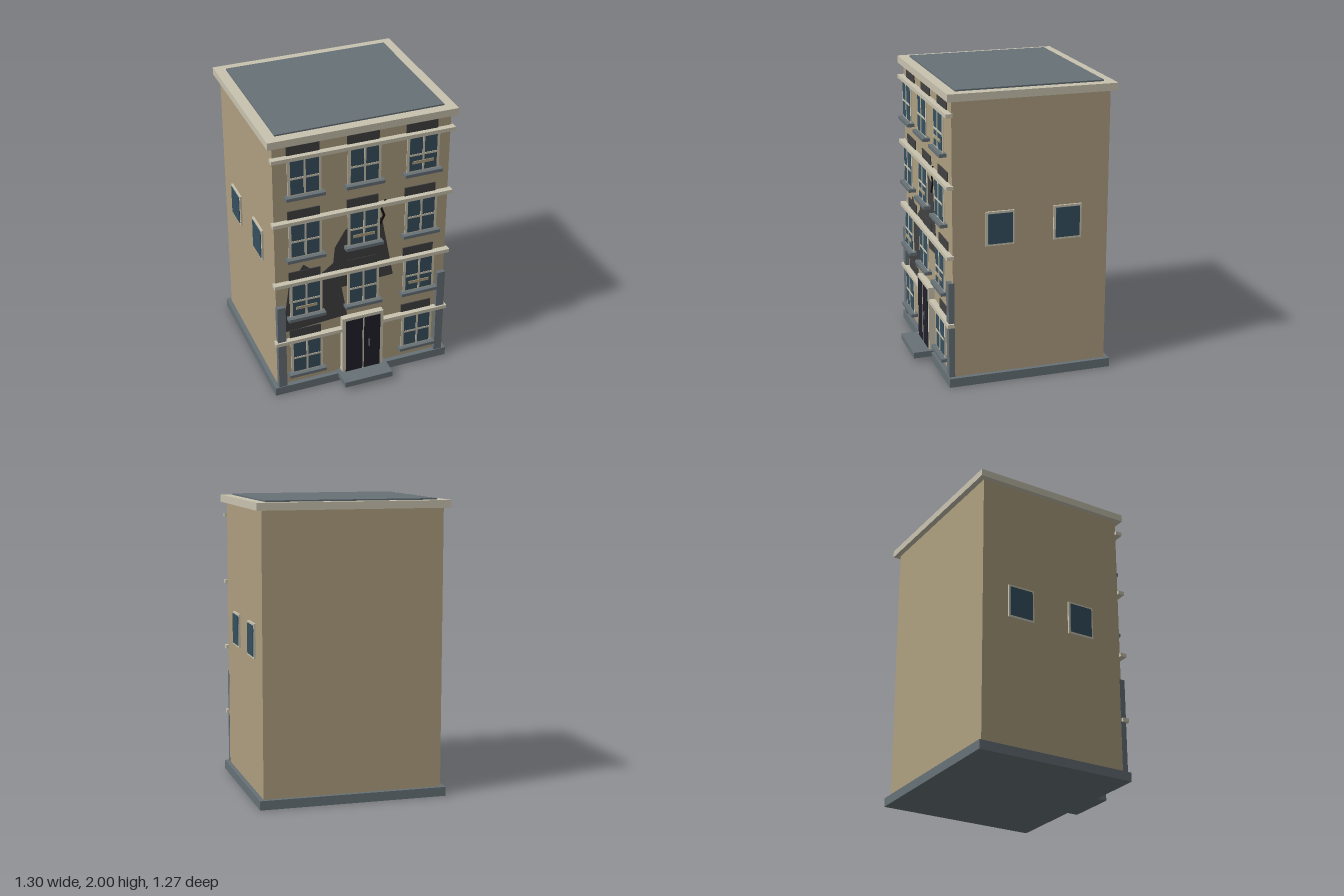
import * as THREE from 'three';

const mat = (name, color) => {
  const m = new THREE.MeshStandardMaterial({ color });
  m.name = name;
  return m;
};

export function createModel() {
  const wall = mat('tan plaster', 0xae9f80);
  const trim = mat('pale stone', 0xc9c3af);
  const slate = mat('slate grey', 0x667177);
  const glass = mat('blue glass', 0x36505f);
  const soot = mat('soot', 0x424143);
  const dark = mat('dark door', 0x20202a);
  const black = mat('crack black', 0x121214);

  const house = new THREE.Group();
  house.name = 'townhouse';

  // Box given by its min and max on each axis
  const box = (parent, name, m, x0, x1, y0, y1, z0, z1) => {
    const mesh = new THREE.Mesh(new THREE.BoxGeometry(x1 - x0, y1 - y0, z1 - z0), m);
    mesh.position.set((x0 + x1) / 2, (y0 + y1) / 2, (z0 + z1) / 2);
    mesh.name = name;
    parent.add(mesh);
    return mesh;
  };
  // Thin plate cut to an outline, facing the front
  const plate = (name, m, points, z, depth) => {
    const shape = new THREE.Shape(points.map(([x, y]) => new THREE.Vector2(x, y)));
    const mesh = new THREE.Mesh(new THREE.ExtrudeGeometry(shape, { depth, bevelEnabled: false }), m);
    mesh.position.z = z;
    mesh.name = name;
    house.add(mesh);
  };

  // Main block, plinth, cornice and roof
  box(house, 'walls', wall, -0.612, 0.612, 0.05, 1.95, -0.6, 0.47);
  box(house, 'plinth', slate, -0.642, 0.642, 0, 0.062, -0.63, 0.505);
  box(house, 'cornice', trim, -0.65, 0.65, 1.94, 1.99, -0.638, 0.505);
  box(house, 'roof', slate, -0.578, 0.578, 1.98, 2, -0.567, 0.435);

  // Corner piers
  for (const s of [-1, 1]) {
    const x = s * 0.584;
    box(house, 'cornerPier', slate, x - 0.029, x + 0.029, 0.06, 0.725, 0.46, 0.5);
  }

  // Front window, placed by the middle of its sill
  const addWindow = (x, y, boarded) => {
    const g = new THREE.Group();
    g.name = 'frontWindow';
    g.position.set(x, y, 0);
    house.add(g);
    box(g, 'frame', trim, -0.115, 0.115, 0.008, 0.285, 0.497, 0.503);
    box(g, 'glass', glass, -0.096, 0.096, 0.02, 0.266, 0.503, 0.506);
    box(g, 'mullion', trim, -0.007, 0.007, 0.02, 0.266, 0.505, 0.509);
    box(g, 'crossbar', trim, -0.096, 0.096, 0.129, 0.143, 0.505, 0.509);
    box(g, 'sill', slate, -0.133, 0.133, -0.012, 0.011, 0.483, 0.533);
    box(g, 'sootMark', soot, -0.111, 0.111, 0.24, 0.352, 0.468, 0.477);
    if (boarded) box(g, 'board', wall, -0.075, 0.075, 0.071, 0.092, 0.507, 0.512);
  };

  // Four storeys, each with a stone band; the door replaces one window
  const boards = ['1,-1', '1,1', '2,0', '3,1'];
  for (let row = 0; row < 4; row++) {
    const y = 0.154 + row * 0.472;
    box(house, 'stoneBand', trim, -0.63, 0.63, y + 0.264, y + 0.29, 0.465, 0.512);
    for (const col of [-1, 0, 1]) {
      if (row === 0 && col === 0) continue;
      addWindow(col * 0.409, y, boards.includes(`${row},${col}`));
    }
  }

  // Entrance
  box(house, 'doorFrame', trim, -0.152, 0.15, 0.06, 0.527, 0.46, 0.514);
  box(house, 'door', dark, -0.128, 0.126, 0.07, 0.504, 0.51, 0.518);
  box(house, 'doorSeam', trim, -0.005, 0.005, 0.07, 0.504, 0.515, 0.52);
  box(house, 'doorHandle', slate, 0.041, 0.049, 0.255, 0.315, 0.516, 0.526);
  box(house, 'doorStep', slate, -0.178, 0.178, 0.03, 0.072, 0.46, 0.633);

  // Bare patch where the plaster has fallen away
  plate('barePatch', soot, [
    [-0.553, 0.5], [-0.553, 0.62], [-0.52, 0.86], [-0.415, 1.018], [-0.294, 0.912],
    [-0.204, 0.98], [-0.193, 1.098], [-0.12, 1.22], [0, 1.3], [0.14, 1.257],
    [0.23, 0.785], [-0.145, 0.77], [-0.103, 0.53],
  ], 0.468, 0.005);

  // Zigzag crack
  plate('crack', black, [
    [0.158, 1.395], [0.125, 1.335], [0.147, 1.275], [0.112, 1.2],
    [0.124, 1.2], [0.163, 1.275], [0.141, 1.335], [0.168, 1.395],
  ], 0.47, 0.009);

  // Side windows, mirrored on both walls
  for (const s of [-1, 1]) {
    for (const z of [0.15, -0.315]) {
      const g = new THREE.Group();
      g.name = 'sideWindow';
      g.position.set(s * 0.612, 0, z);
      g.rotation.y = s * Math.PI / 2;
      house.add(g);
      box(g, 'sideFrame', trim, -0.097, 0.097, 0.96, 1.193, -0.005, 0.013);
      box(g, 'sideGlass', glass, -0.083, 0.083, 0.974, 1.179, 0.01, 0.018);
    }
  }
  return house;
}
